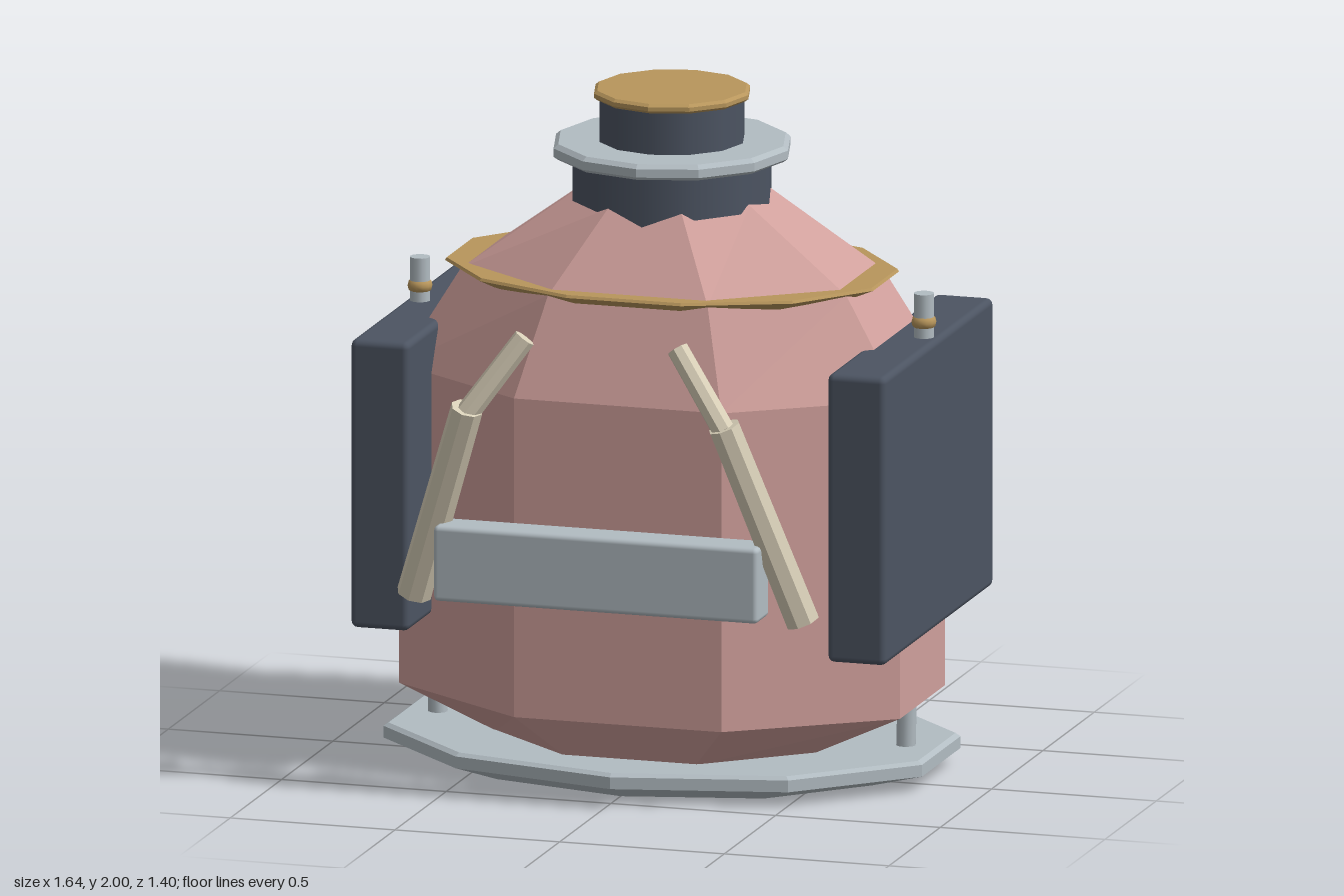
import * as THREE from 'three';
import { RoundedBoxGeometry } from 'three/addons/geometries/RoundedBoxGeometry.js';

const CZ = -0.095; // depth of the main axis

const mat = (color, flatShading = true) => new THREE.MeshStandardMaterial({ color, flatShading });

// Stacked elliptical polygons; each section is [y, rx, rz]
function loft(sections, sides, phase) {
  const pos = [];
  const at = ([y, rx, rz], i) => {
    const a = ((i + phase) / sides) * Math.PI * 2;
    return [rx * Math.sin(a), y, rz * Math.cos(a)];
  };
  const first = sections[0], last = sections[sections.length - 1];
  for (let i = 0; i < sides; i++) {
    for (let s = 0; s < sections.length - 1; s++) {
      const a = at(sections[s], i), b = at(sections[s], i + 1);
      const c = at(sections[s + 1], i + 1), d = at(sections[s + 1], i);
      pos.push(...a, ...b, ...c, ...a, ...c, ...d);
    }
    pos.push(0, last[0], 0, ...at(last, i), ...at(last, i + 1));
    pos.push(0, first[0], 0, ...at(first, i + 1), ...at(first, i));
  }
  const g = new THREE.BufferGeometry();
  g.setAttribute('position', new THREE.Float32BufferAttribute(pos, 3));
  g.computeVertexNormals();
  return g;
}

// Scale flat-to-flat half sizes up to corner radii
const flats = (sections, sides) => {
  const k = 1 / Math.cos(Math.PI / sides);
  return sections.map(([y, x, z]) => [y, x * k, z * k]);
};

// Prism between two points
function rod(p, q, r0, r1, sides) {
  const a = new THREE.Vector3(...p), b = new THREE.Vector3(...q);
  const dir = b.clone().sub(a);
  const g = new THREE.CylinderGeometry(r1, r0, dir.length(), sides);
  g.applyQuaternion(new THREE.Quaternion().setFromUnitVectors(
    new THREE.Vector3(0, 1, 0), dir.normalize()));
  const mid = a.add(b).multiplyScalar(0.5);
  return g.translate(mid.x, mid.y, mid.z);
}

export function createModel() {
  const model = new THREE.Group();
  model.name = 'model';
  const pink = mat(0xd0a09c), steel = mat(0xb2bcc2), gold = mat(0xb8965c);
  const dark = mat(0x4c5462), darkSmooth = mat(0x4c5462, false);
  const steelSmooth = mat(0xb2bcc2, false), cream = mat(0xd8cfb8);

  const add = (name, geometry, material, x = 0, y = 0, z = 0) => {
    const m = new THREE.Mesh(geometry, material);
    m.name = name;
    m.position.set(x, y, z);
    model.add(m);
    return m;
  };

  // Ten-sided base plate, chamfered underneath
  add('basePlate', loft([
    [0, 0.69, 0.5], [0.045, 0.86, 0.605], [0.08, 0.86, 0.605], [0.09, 0.845, 0.592],
  ], 10, 0), steel, 0, 0, CZ);

  // Eight-sided body with sloping shoulders
  add('body', loft(flats([
    [0.085, 0.48, 0.41], [0.22, 0.76, 0.53], [1.17, 0.76, 0.53],
    [1.46, 0.585, 0.43], [1.69, 0.27, 0.265], [1.76, 0.17, 0.21],
  ], 8), 8, 0.5), pink, 0, 0, CZ);

  // Twelve-sided rim around the shoulder
  add('shoulderRim', loft(flats([
    [1.41, 0.5, 0.36], [1.445, 0.6, 0.44], [1.467, 0.65, 0.475], [1.475, 0.645, 0.47],
  ], 12), 12, 0.5), gold, 0, 0, CZ);

  // Neck, collar and cap
  add('lowerNeck', new THREE.CylinderGeometry(0.295, 0.295, 0.2, 12), darkSmooth, 0, 1.71, CZ);
  add('collar', loft([
    [1.8, 0.338, 0.338], [1.81, 0.352, 0.352], [1.835, 0.352, 0.352], [1.847, 0.338, 0.338],
  ], 12, 0), steel, 0, 0, CZ);
  add('upperNeck', new THREE.CylinderGeometry(0.215, 0.215, 0.15, 12), darkSmooth, 0, 1.91, CZ);
  add('cap', loft([
    [1.972, 0.222, 0.222], [1.98, 0.232, 0.232], [1.992, 0.232, 0.232], [2, 0.222, 0.222],
  ], 12, 0), gold, 0, 0, CZ);

  // Front bar
  add('frontBar', new RoundedBoxGeometry(0.985, 0.225, 0.12, 2, 0.015), steelSmooth, 0, 0.715, 0.595);

  // Mirrored parts
  for (const [side, s] of [['left', 1], ['right', -1]]) {
    add(side + 'Panel', new RoundedBoxGeometry(0.178, 0.86, 1.06, 2, 0.02),
      darkSmooth, s * 0.724, 0.88, CZ);
    add(side + 'Post', new THREE.CylinderGeometry(0.03, 0.03, 0.16, 12),
      steelSmooth, s * 0.765, 1.36, CZ);
    add(side + 'PostBead', new THREE.SphereGeometry(0.037, 12, 8), mat(0xb8965c, false),
      s * 0.765, 1.355, CZ).scale.y = 0.75;
    add(side + 'Leg', rod([s * 0.71, 0.07, 0], [s * 0.715, 0.27, 0], 0.029, 0.029, 12),
      steelSmooth, 0, 0, CZ);
    add(side + 'LowerArm', rod([s * 0.59, 0.59, 0.525], [s * 0.39, 1.185, 0.65], 0.052, 0.048, 8), cream);
    add(side + 'UpperArm', rod([s * 0.39, 1.17, 0.648], [s * 0.232, 1.393, 0.595], 0.035, 0.033, 8), cream);
  }
  return model;
}
